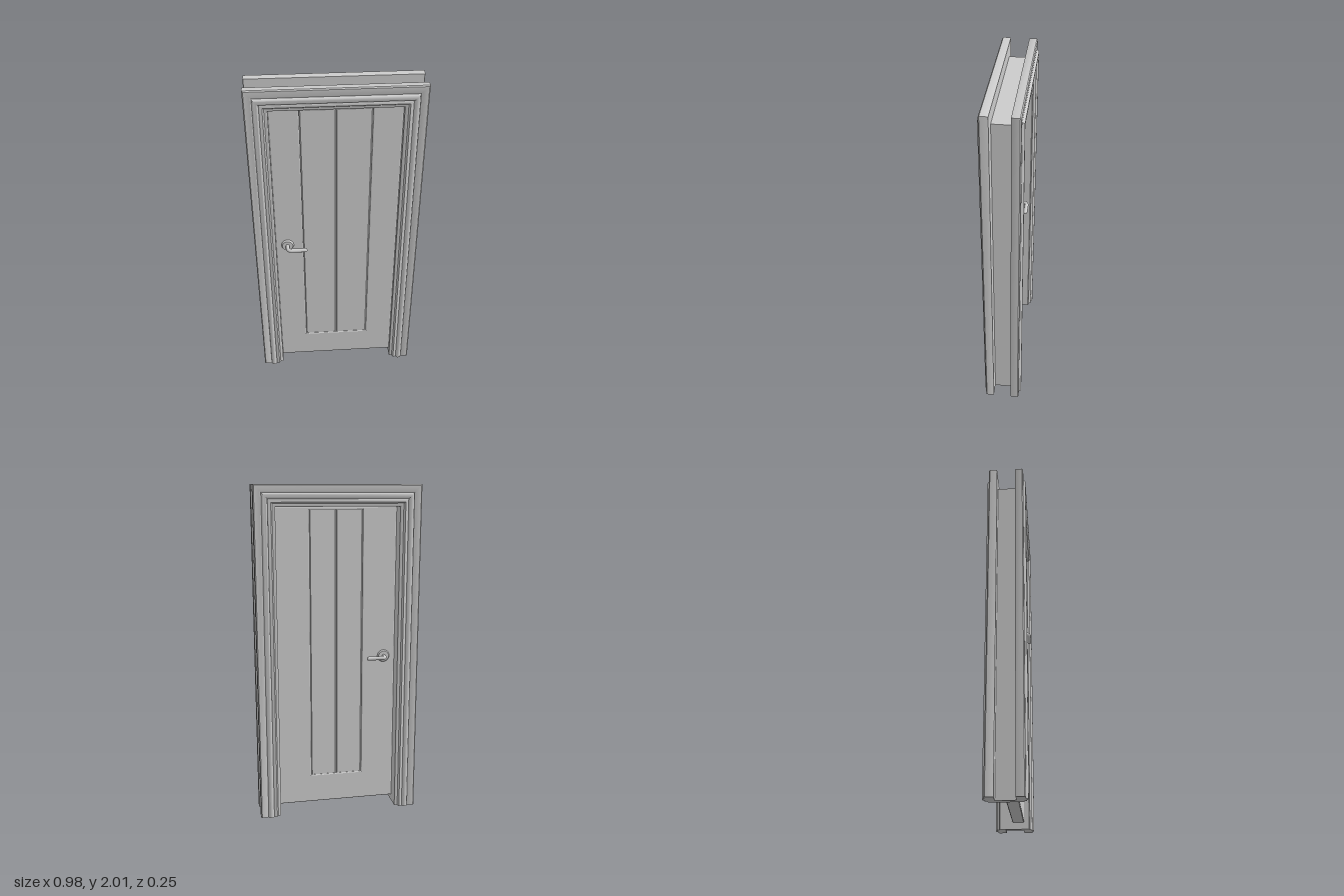
import * as THREE from 'three';
import { toCreasedNormals } from 'three/addons/utils/BufferGeometryUtils.js';

const mat = new THREE.MeshStandardMaterial({ color: 0xcccccc });
const HALF = 0.365, TOP = 1.88; // door opening

function add(parent, name, geo, x = 0, y = 0, z = 0) {
  const m = new THREE.Mesh(geo, mat);
  m.name = name;
  m.position.set(x, y, z);
  parent.add(m);
  return m;
}

// Sweep a closed profile of [offset from opening, z] round the opening with mitred corners
function mouldingGeometry(profile) {
  const pts = profile.map(p => new THREE.Vector2(...p));
  const rings = [
    p => [-HALF - p.x, 0, p.y], p => [-HALF - p.x, TOP + p.x, p.y],
    p => [HALF + p.x, TOP + p.x, p.y], p => [HALF + p.x, 0, p.y],
  ];
  const pos = [], n = pts.length;
  const tri = (a, b, c) => pos.push(...a, ...b, ...c);
  for (let r = 0; r < 3; r++) {
    for (let i = 0; i < n; i++) {
      const p = pts[i], q = pts[(i + 1) % n];
      const a = rings[r](p), b = rings[r](q), c = rings[r + 1](q), d = rings[r + 1](p);
      tri(a, b, c);
      tri(a, c, d);
    }
  }
  // feet
  for (const [i, j, k] of THREE.ShapeUtils.triangulateShape(pts, [])) {
    tri(rings[0](pts[i]), rings[0](pts[k]), rings[0](pts[j]));
    tri(rings[3](pts[i]), rings[3](pts[j]), rings[3](pts[k]));
  }
  const g = new THREE.BufferGeometry();
  g.setAttribute('position', new THREE.Float32BufferAttribute(pos, 3));
  g.computeVertexNormals();
  return toCreasedNormals(g, 0.7);
}

// Stiles and rails round a rectangular panel opening
function leafFrame(panelHalf, depth) {
  const s = new THREE.Shape();
  s.moveTo(-HALF, 0.04).lineTo(HALF, 0.04).lineTo(HALF, TOP).lineTo(-HALF, TOP).closePath();
  const h = new THREE.Path();
  h.moveTo(-panelHalf, 0.22).lineTo(-panelHalf, 1.86).lineTo(panelHalf, 1.86).lineTo(panelHalf, 0.22).closePath();
  s.holes.push(h);
  return new THREE.ExtrudeGeometry(s, {
    depth: depth - 0.004, bevelThickness: 0.004, bevelSize: 0.006, bevelOffset: -0.006, bevelSegments: 1,
  });
}

// One board with eased long edges
function plank(width, height, depth) {
  const w = width / 2, e = 0.006;
  const s = new THREE.Shape();
  s.moveTo(-w, 0).lineTo(w, 0).lineTo(w, depth - e).lineTo(w - e, depth)
    .lineTo(-w + e, depth).lineTo(-w, depth - e).closePath();
  const g = new THREE.ExtrudeGeometry(s, { depth: height, bevelEnabled: false });
  g.rotateX(-Math.PI / 2).scale(1, 1, 1);
  // lay the section so that its depth faces +z
  g.rotateY(Math.PI);
  return g;
}

// Face of the leaf built towards +z from its own z = 0
function leafFace(name, panelHalf) {
  const f = new THREE.Group();
  f.name = name;
  add(f, 'stilesAndRails', leafFrame(panelHalf, 0.014));
  for (const side of [-1, 1]) {
    add(f, 'plank', plank(panelHalf, 1.66, 0.008), side * panelHalf / 2, 0.21, 0);
  }
  return f;
}

// Lever handle; dir is +1 for the front and -1 for the back
function leverHandle(name, faceZ, dir) {
  const g = new THREE.Group();
  g.name = name;
  g.position.set(-0.295, 0.975, faceZ);
  const rose = new THREE.CylinderGeometry(0.032, 0.04, 0.016, 24);
  rose.rotateX(dir * Math.PI / 2);
  add(g, 'rosette', rose, 0, 0, dir * 0.006);
  const path = new THREE.CurvePath();
  const v = (x, z) => new THREE.Vector3(x, 0, dir * z);
  path.add(new THREE.LineCurve3(v(0, 0), v(0, 0.038)));
  path.add(new THREE.QuadraticBezierCurve3(v(0, 0.038), v(0, 0.062), v(0.024, 0.062)));
  path.add(new THREE.LineCurve3(v(0.024, 0.062), v(0.106, 0.062)));
  add(g, 'lever', new THREE.TubeGeometry(path, 40, 0.012, 12));
  const tip = new THREE.SphereGeometry(0.012, 12, 8);
  add(g, 'leverTip', tip, 0.106, 0, dir * 0.062);
  return g;
}

export function createModel() {
  const door = new THREE.Group();
  door.name = 'door';

  // Stepped casings on both wall faces
  const casing = mouldingGeometry([
    [0, 0.045], [0.122, 0.045], [0.125, 0.05], [0.125, 0.089], [0.119, 0.095],
    [0.085, 0.095], [0.079, 0.091], [0.075, 0.102], [0.069, 0.107], [0.054, 0.107],
    [0.047, 0.102], [0.044, 0.092], [0.038, 0.097], [0.026, 0.097], [0.02, 0.09],
    [0.018, 0.083], [0.006, 0.083], [0, 0.078],
  ]);
  add(door, 'frontCasing', casing);
  add(door, 'backCasing', casing, 0, 0, -0.018).rotation.y = Math.PI;

  // Jamb lining between the casings
  add(door, 'jamb', mouldingGeometry([[0, -0.066], [0.043, -0.066], [0.043, 0.048], [0, 0.048]]));

  // Door leaf
  add(door, 'leafCore', new THREE.BoxGeometry(2 * HALF, TOP - 0.04, 0.044), 0, (TOP + 0.04) / 2, 0.014);
  const front = leafFace('leafFront', 0.2);
  front.position.z = 0.036;
  const back = leafFace('leafBack', 0.16);
  back.position.z = -0.008;
  back.rotation.y = Math.PI;
  door.add(front, back);

  door.add(leverHandle('frontHandle', 0.048, 1), leverHandle('backHandle', -0.02, -1));
  return door;
}
